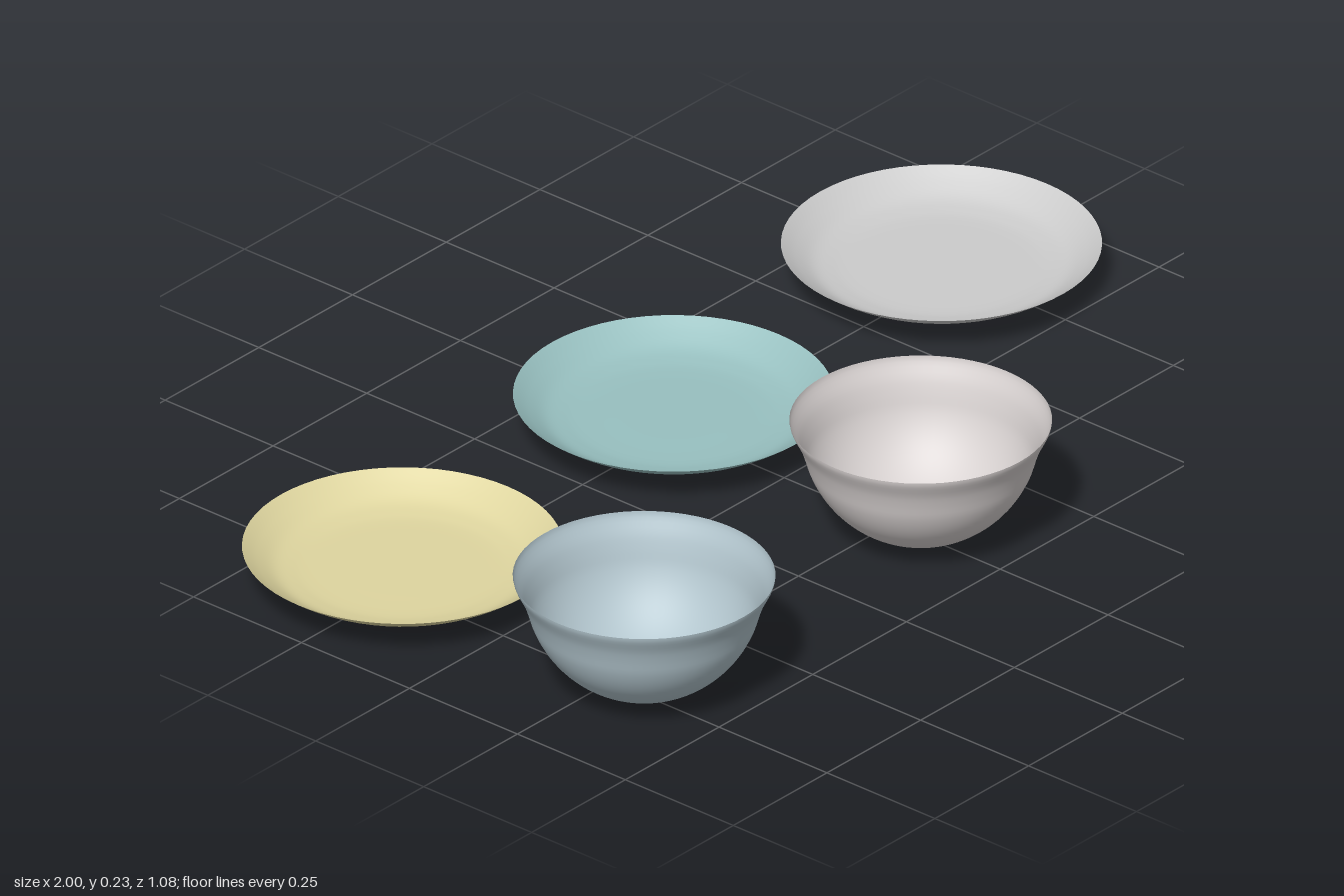
import * as THREE from 'three';

// Thin turned dish: a smooth curve through [radius, height] points, spun about y
function makeDish(name, profile, color, x, z) {
  const curve = new THREE.SplineCurve(profile.map(([r, y]) => new THREE.Vector2(r, y)));
  const points = curve.getPoints(40);
  points.forEach((p) => { p.x = Math.max(p.x, 0); p.y = Math.max(p.y, 0); });
  const material = new THREE.MeshStandardMaterial({ color, side: THREE.DoubleSide });
  const mesh = new THREE.Mesh(new THREE.LatheGeometry(points, 64), material);
  mesh.name = name;
  mesh.position.set(x, 0, z);
  return mesh;
}

export function createModel() {
  const group = new THREE.Group();
  group.name = 'tableware';

  // Shallow plate: flat floor, rounded shoulder, sloping rim
  const plateProfile = [
    [0, 0.026], [0.08, 0.026], [0.16, 0.026], [0.195, 0.029],
    [0.225, 0.036], [0.255, 0.053], [0.281, 0.072],
  ];

  // Bowl: hemispherical body, then a flared lip
  const bowlProfile = [];
  const radius = 0.21;
  for (let i = 0; i <= 10; i++) {
    const a = (i / 10) * 1.35;
    bowlProfile.push([radius * Math.sin(a), radius * (1 - Math.cos(a))]);
  }
  bowlProfile.push([0.214, 0.19], [0.227, 0.216], [0.23, 0.227]);

  // Back row of plates
  [['yellowPlate', 0xded59f, -0.719], ['tealPlate', 0x98c0c0, 0.004], ['greyPlate', 0xcccccc, 0.719]]
    .forEach(([name, color, x]) => group.add(makeDish(name, plateProfile, color, x, -0.26)));

  // Front row of bowls
  [['blueBowl', 0xb2c5cd, -0.731], ['paleBowl', 0xd8d2d1, 0.007]]
    .forEach(([name, color, x]) => group.add(makeDish(name, bowlProfile, color, x, 0.31)));

  return group;
}
